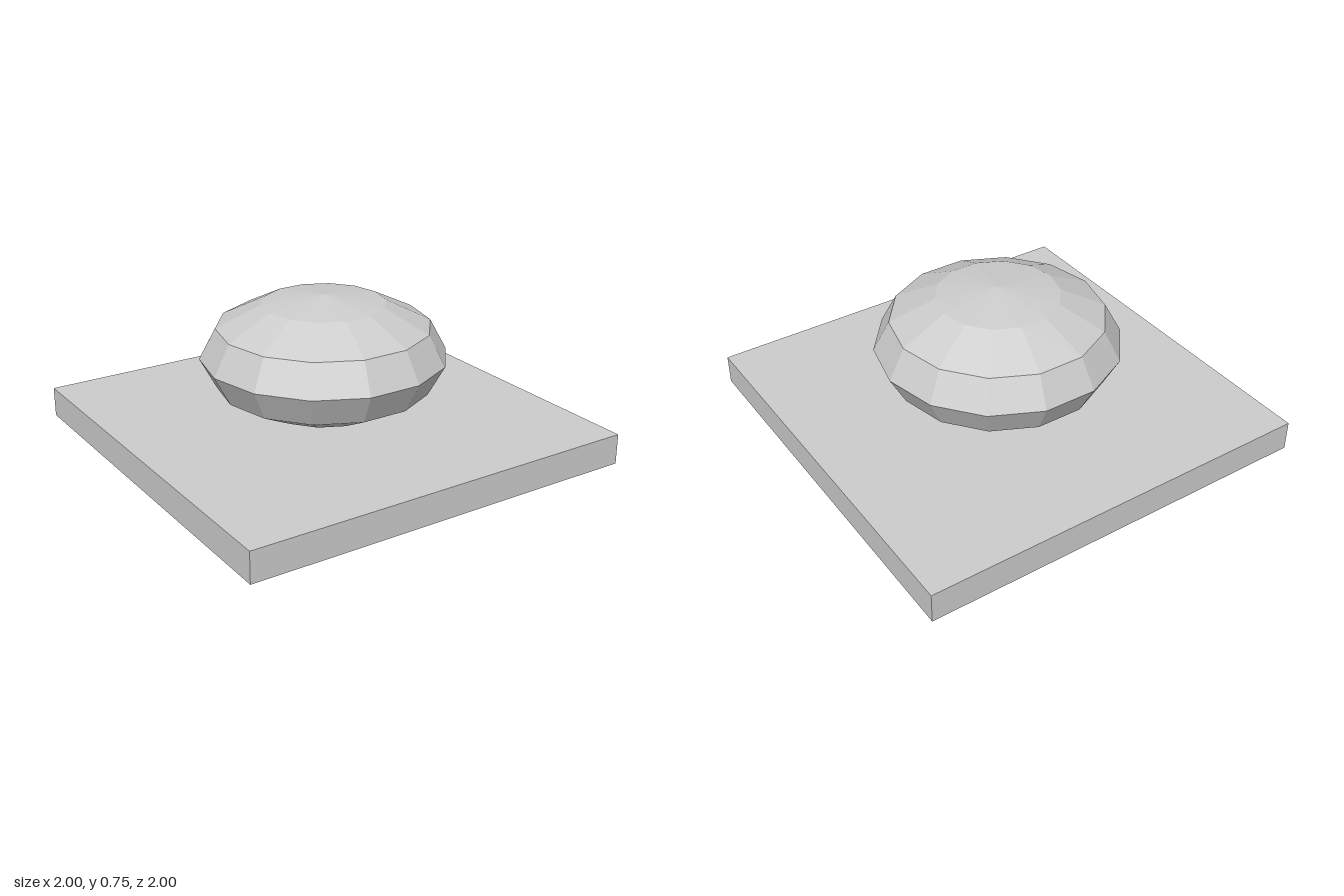
import * as THREE from 'three';

export function createModel() {
  const model = new THREE.Group();
  const grey = new THREE.MeshStandardMaterial({ color: 0xcccccc, flatShading: true });
  grey.name = 'light grey';

  // square slab
  const base = new THREE.Mesh(new THREE.BoxGeometry(2, 0.15, 2), grey);
  base.name = 'base';
  base.position.y = 0.075;
  model.add(base);

  // faceted, flattened ball resting on the slab
  const ball = new THREE.Mesh(new THREE.SphereGeometry(0.6, 14, 6).scale(1, 0.5, 1), grey);
  ball.name = 'flattenedBall';
  ball.position.y = 0.45;
  model.add(ball);

  return model;
}
